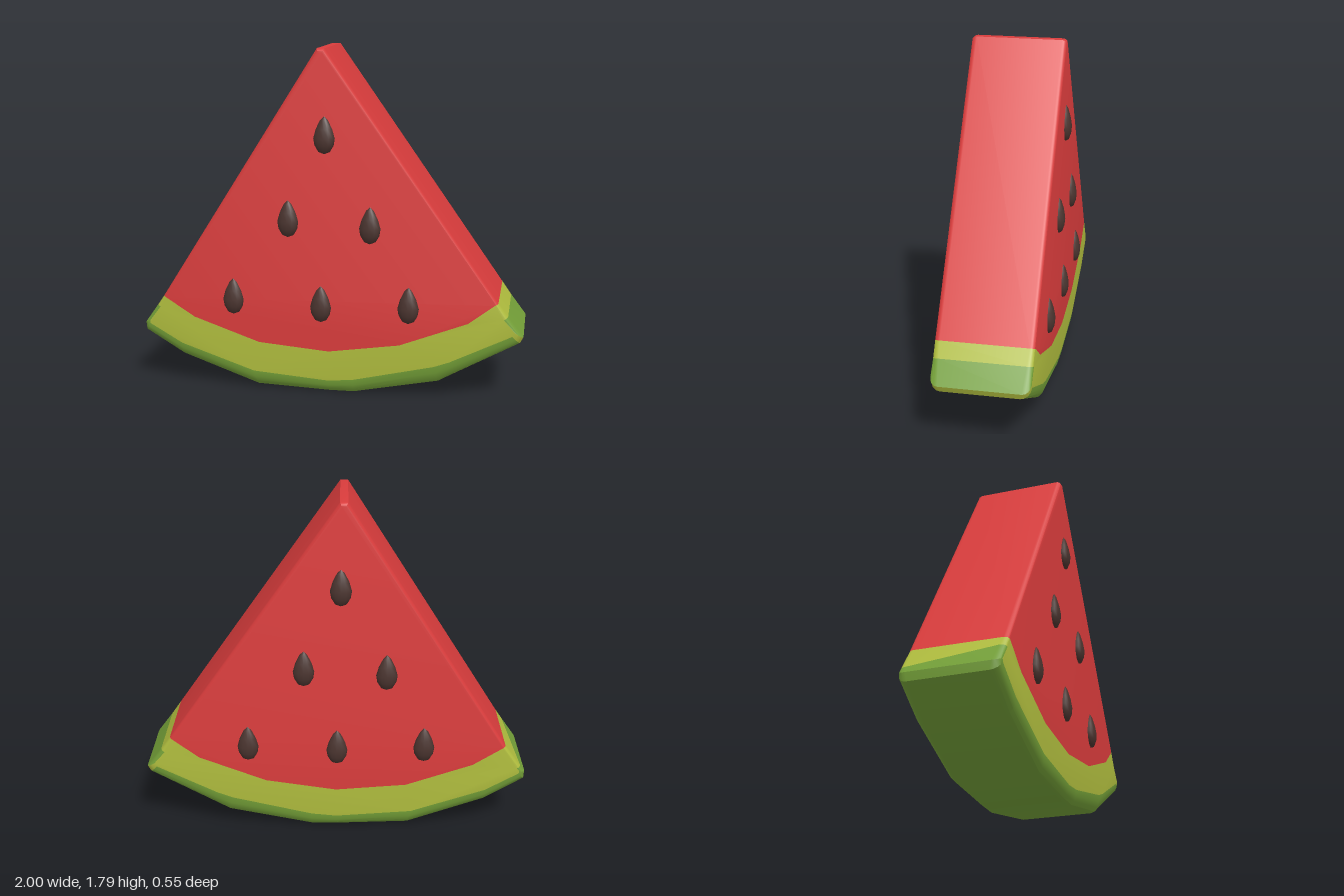
import * as THREE from 'three';
import { toCreasedNormals } from 'three/addons/utils/BufferGeometryUtils.js';

const HALF = 0.243; // half thickness of the slice
const STEPS = 4;    // bevel steps

const mat = (name, color) => {
  const m = new THREE.MeshStandardMaterial({ color });
  m.name = name;
  return m;
};

// Outline, counter-clockwise from the lower left corner:
// outer x, y, bevelled face x, y, bevel depth, colour of the edge that follows, slant along the edge
const RED = 0, LIME = 1, GREEN = 2;
const OUTLINE = [
  [-0.998, 0.285, -0.965, 0.330, 0.05, GREEN],
  [-0.79, 0.16, -0.79, 0.23, 0.05, GREEN],
  [-0.38, 0.015, -0.40, 0.10, 0.05, GREEN],
  [0, 0.003, 0, 0.07, 0.05, GREEN],
  [0.13, 0.003, 0.13, 0.083, 0.05, GREEN],
  [0.57, 0.09, 0.55, 0.18, 0.05, GREEN],
  [0.64, 0.13, 0.63, 0.21, 0.05, LIME],
  [0.985, 0.322, 0.945, 0.365, 0.05, LIME],
  [1.0, 0.355, 0.957, 0.385, 0.04, GREEN],
  [0.92, 0.46, 0.90, 0.45, 0.03, LIME],
  [0.87, 0.53, 0.853, 0.522, 0.025, RED],
  [-0.02, 1.795, -0.03, 1.775, 0.025, RED],
  [-0.06, 1.795, -0.05, 1.775, 0.025, RED],
  [-0.89, 0.485, -0.873, 0.477, 0.025, LIME],
  [-0.95, 0.40, -0.93, 0.393, 0.03, GREEN, 0.03],
  [-1.0, 0.33, -0.967, 0.345, 0.04, GREEN]
];
// Edge between flesh and rind on the flat faces, left to right
const FLESH_EDGE = [[-0.72, 0.38], [-0.37, 0.26], [0, 0.23], [0.37, 0.285], [0.72, 0.42]];

function sliceGeometry() {
  const tris = [[], [], []];
  const add = (m, ...pts) => pts.forEach(p => tris[m].push(...p));

  // Rounded rim: rings of the outline from back to front
  const rings = [];
  for (const side of [-1, 1]) {
    for (let k = 0; k <= STEPS; k++) {
      const a = (side < 0 ? STEPS - k : k) / STEPS * Math.PI / 2;
      const t = 1 - Math.cos(a);
      rings.push(OUTLINE.map(([px, py, qx, qy, b, , slant = 0]) => [
        px + (qx - px) * t + slant * side * 0.8,
        py + (qy - py) * t + slant * side * 1.1,
        side * (HALF - b + b * Math.sin(a))
      ]));
    }
  }
  const n = OUTLINE.length;
  for (let j = 0; j < rings.length - 1; j++) {
    for (let i = 0; i < n; i++) {
      const k = (i + 1) % n;
      let m = OUTLINE[i][5];
      if (i === 6 && (j < STEPS - 1 || j > STEPS + 1)) m = GREEN; // pale patch stays off the bevel
      const [a, b, c, d] = [rings[j][i], rings[j][k], rings[j + 1][k], rings[j + 1][i]];
      add(m, a, b, c, a, c, d);
    }
  }

  // Flat faces: flesh and pale rind band
  for (const side of [-1, 1]) {
    const ring = rings[side < 0 ? 0 : rings.length - 1];
    const edge = FLESH_EDGE.map(([x, y]) => [x, y, side * HALF]);
    const flesh = [ring[13], ...edge, ring[10], ring[11], ring[12]];
    const band = [ring[13], ring[14], ring[15], ...ring.slice(0, 11), ...[...edge].reverse()];
    [[RED, flesh], [LIME, band]].forEach(([m, poly]) => {
      const flat = poly.map(p => new THREE.Vector2(p[0], p[1]));
      for (const [a, b, c] of THREE.ShapeUtils.triangulateShape(flat, [])) {
        if (side > 0) add(m, poly[a], poly[b], poly[c]);
        else add(m, poly[a], poly[c], poly[b]);
      }
    });
  }

  const geo = new THREE.BufferGeometry();
  geo.setAttribute('position', new THREE.Float32BufferAttribute(tris.flat(), 3));
  let start = 0;
  tris.forEach((t, m) => {
    geo.addGroup(start, t.length / 3, m);
    start += t.length / 3;
  });
  return toCreasedNormals(geo, 0.45);
}

export function createModel() {
  const model = new THREE.Group();
  model.name = 'melonSlice';
  const red = mat('flesh red', 0xd93c3c);
  const lime = mat('pale rind', 0xb0bd3e);
  const green = mat('rind green', 0x74a038);
  const dark = mat('seed brown', 0x4a342f);

  const slice = new THREE.Mesh(sliceGeometry(), [red, lime, green]);
  slice.name = 'slice';
  model.add(slice);

  // Teardrop seeds, half sunk into both faces
  const profile = [[0, -0.092], [0.03, -0.08], [0.049, -0.048], [0.055, -0.012],
    [0.042, 0.035], [0.02, 0.08], [0, 0.1]].map(p => new THREE.Vector2(...p));
  const seedGeo = new THREE.LatheGeometry(profile, 12);
  const spots = [[-0.02, 1.36], [-0.21, 0.925], [0.215, 0.905],
    [-0.505, 0.5], [-0.04, 0.48], [0.415, 0.495]];
  for (const side of [1, -1]) {
    for (const [x, y] of spots) {
      const seed = new THREE.Mesh(seedGeo, dark);
      seed.name = side > 0 ? 'frontSeed' : 'backSeed';
      seed.position.set(side > 0 ? x : -x - 0.045, y, side * HALF);
      seed.scale.z = 0.58;
      model.add(seed);
    }
  }
  return model;
}
